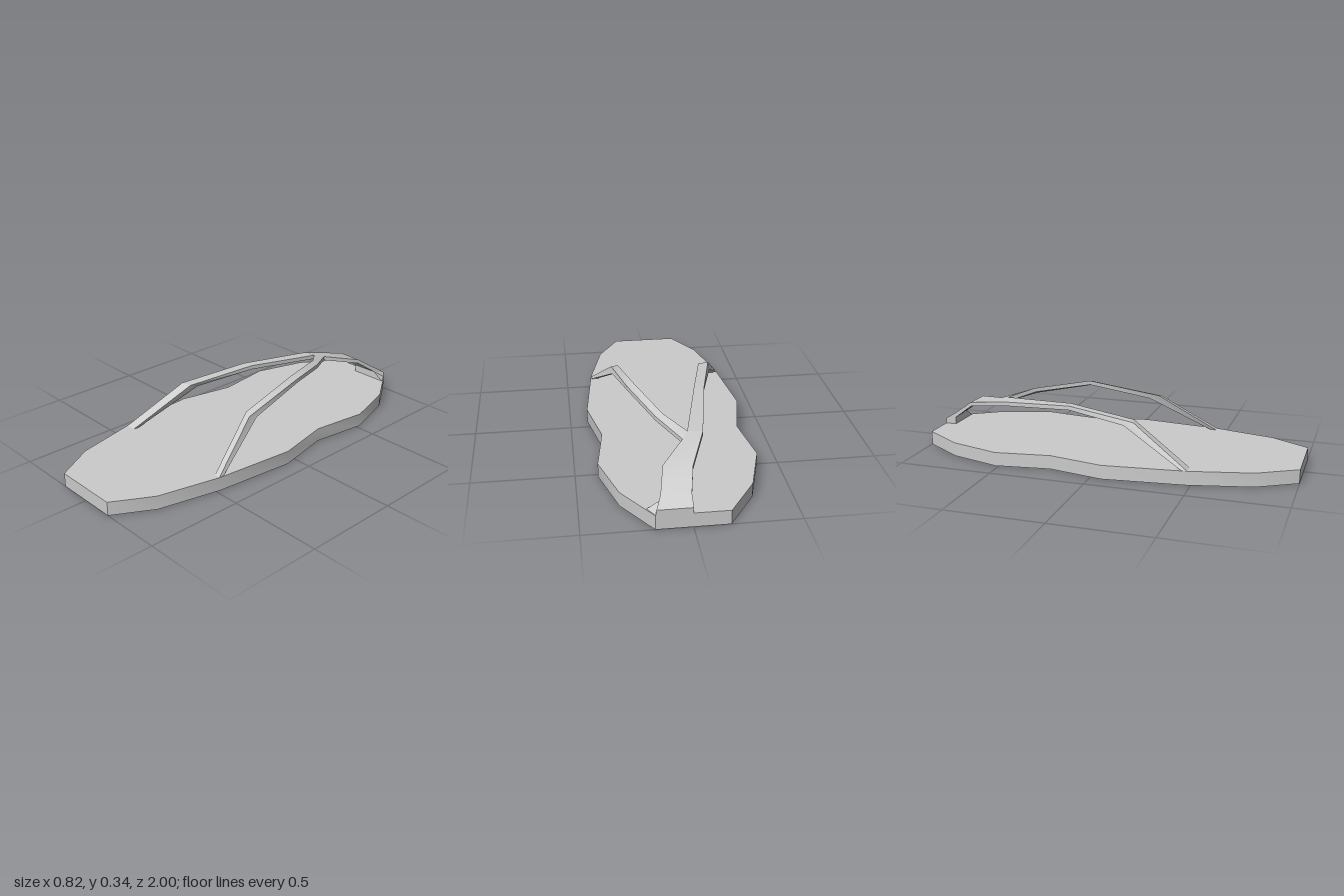
import * as THREE from 'three';
import { toCreasedNormals } from 'three/addons/utils/BufferGeometryUtils.js';

const TOP = 0.072; // upper surface of the sole
const CREASE = 0.45;

// One four-cornered cross-section: upper edge points and the offset to the underside
function section(l, r, dy = -0.022, dz = 0) {
  const drop = ([x, y, z]) => [x, y + dy, z + dz];
  return [l, r, drop(r), drop(l)];
}

// Skin a closed solid through four-cornered sections running toward -z
function loft(sections) {
  const pos = [];
  const quad = (a, b, c, d) => pos.push(...a, ...b, ...c, ...a, ...c, ...d);
  for (let i = 0; i < sections.length - 1; i++) {
    const s = sections[i], t = sections[i + 1];
    for (let j = 0; j < 4; j++) {
      const k = (j + 1) % 4;
      quad(s[j], s[k], t[k], t[j]);
    }
  }
  const first = sections[0], last = sections[sections.length - 1];
  quad(first[3], first[2], first[1], first[0]);
  quad(last[0], last[1], last[2], last[3]);
  const geo = new THREE.BufferGeometry();
  geo.setAttribute('position', new THREE.Float32BufferAttribute(pos, 3));
  return toCreasedNormals(geo, CREASE);
}

export function createModel() {
  const group = new THREE.Group();
  const material = new THREE.MeshStandardMaterial({ color: 0xcccccc });
  const add = (name, geometry) => {
    const mesh = new THREE.Mesh(geometry, material);
    mesh.name = name;
    group.add(mesh);
  };

  // Sole: mirrored half outline (x, z) from toe to heel
  const half = [
    [0.17, -1], [0.31, -0.79], [0.39, -0.52], [0.35, -0.23],
    [0.41, 0.06], [0.365, 0.48], [0.29, 0.8], [0.175, 1],
  ];
  const mirrored = half.map(([x, z]) => [-x, z]).reverse();
  const outline = [...half, ...mirrored].map(([x, z]) => new THREE.Vector2(x, z));
  const sole = new THREE.ExtrudeGeometry(new THREE.Shape(outline), { depth: TOP, bevelEnabled: false });
  sole.rotateX(Math.PI / 2).translate(0, TOP, 0);
  add('sole', toCreasedNormals(sole, CREASE));

  // Shared points where the two straps meet
  const forkRight = [-0.105, 0.258, -0.6];
  const forkMid = [-0.03, 0.264, -0.6];
  const forkLeft = [0, 0.25, -0.65];

  // Right strap
  add('rightStrap', loft([
    section([-0.365, 0.07, 0.485], [-0.31, 0.07, 0.485], -0.003, -0.025),
    section([-0.265, 0.26, 0.18], [-0.21, 0.26, 0.17], -0.02, -0.05),
    section([-0.18, 0.29, -0.19], [-0.125, 0.29, -0.2]),
    section(forkRight, forkMid),
  ]));

  // Left strap, arching a little higher
  add('leftStrap', loft([
    section([0.333, 0.07, 0.485], [0.365, 0.07, 0.485], -0.003, -0.025),
    section([0.23, 0.27, 0.18], [0.265, 0.26, 0.19], -0.02, -0.05),
    section([0.18, 0.336, -0.2], [0.218, 0.326, -0.2]),
    section([0.07, 0.3, -0.48], [0.105, 0.287, -0.48]),
    section(forkMid, forkLeft),
  ]));

  // Toe strap: fork wedge, then down to the toe
  add('toeStrap', loft([
    section(forkRight, forkMid),
    section(forkRight, forkLeft),
    section([-0.022, 0.213, -0.83], [0.115, 0.216, -0.82]),
    section([0, 0.137, -0.94], [0.14, 0.139, -0.94], -0.027),
    section([0, 0.1, -1], [0.165, 0.1, -1], -0.028),
  ]));

  // Toe anchor: flared block joining the toe strap to the sole
  add('toeAnchor', loft([
    [[0, 0.112, -0.94], [0.14, 0.112, -0.94], [0.205, 0.07, -0.94], [0, 0.07, -0.94]],
    [[0, 0.098, -1], [0.165, 0.098, -1], [0.17, 0.07, -1], [0, 0.07, -1]],
  ]));

  return group;
}
